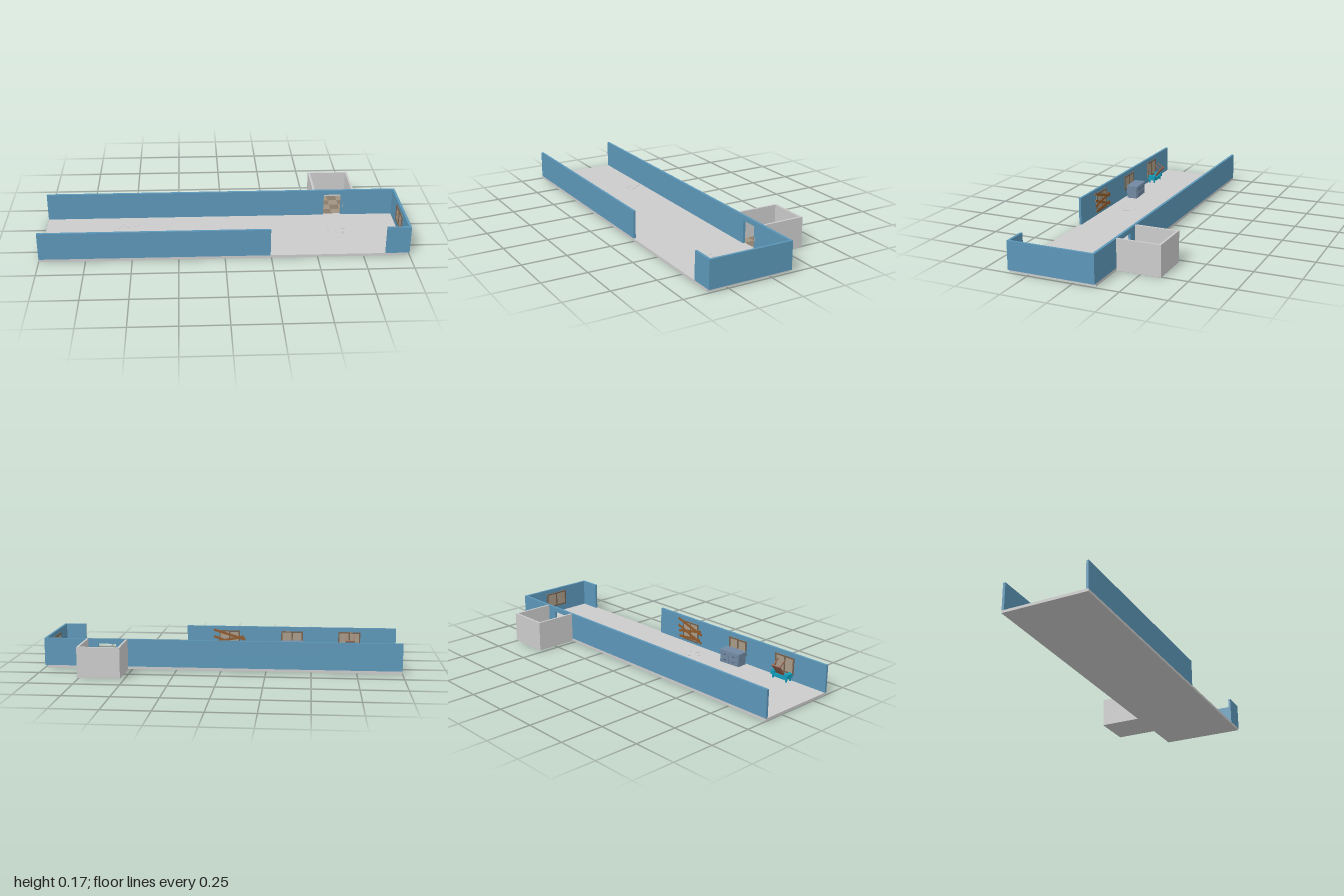
import * as THREE from 'three';

const mats = {};
const mat = (c) => (mats[c] ??= new THREE.MeshStandardMaterial({ color: c }));
const GREY = 0xcccccc, BLUE = 0x5c97b9, WOOD = 0x8f5a2c, FRAME = 0x75614e, PANE = 0xa89a88;
const TEAL = 0x139bba, RUST = 0x93644f, STEEL = 0x7088a2, DARK = 0x4d5f73;

// Box given by its min and max corners
function box(parent, name, color, x0, x1, y0, y1, z0, z1) {
  const m = new THREE.Mesh(new THREE.BoxGeometry(x1 - x0, y1 - y0, z1 - z0), mat(color));
  m.position.set((x0 + x1) / 2, (y0 + y1) / 2, (z0 + z1) / 2);
  m.name = name;
  parent.add(m);
  return m;
}

function group(parent, name, x = 0, y = 0, z = 0, ry = 0) {
  const g = new THREE.Group();
  g.name = name;
  g.position.set(x, y, z);
  g.rotation.y = ry;
  parent.add(g);
  return g;
}

// Framed two-pane window, its back on z = 0 and facing +z
function windowUnit(parent, x, y, z, ry, w, h) {
  const g = group(parent, 'window', x, y, z, ry), t = 0.008;
  box(g, 'windowPane', PANE, -w / 2, w / 2, 0, h, 0, 0.002);
  for (const s of [-w / 2, -t / 2, w / 2 - t]) box(g, 'windowUpright', FRAME, s, s + t, 0, h, 0, 0.005);
  for (const b of [0, h - t]) box(g, 'windowRail', FRAME, -w / 2, w / 2, b, b + t, 0, 0.0055);
  return g;
}

export function createModel() {
  const root = new THREE.Group();
  root.name = 'corridor';
  const F = 0.015, T = 0.17;

  // Floor slab
  box(root, 'floor', GREY, -1, 0.985, 0, F, -0.12, 0.36);

  // Walls, with a gap in the front and a doorway in the back
  box(root, 'frontWallLong', BLUE, -1, 0.245, F, T, 0.347, 0.36);
  box(root, 'frontWallShort', BLUE, 0.87, 0.987, F, T, 0.347, 0.36);
  box(root, 'endWall', BLUE, 0.987, 1, F, T, -0.12, 0.36);
  const wall = new THREE.Shape([[-1, F], [0.59, F], [0.59, 0.143], [0.69, 0.143], [0.69, F], [0.987, F], [0.987, T], [-1, T]]
    .map(([x, y]) => new THREE.Vector2(x, y)));
  const back = new THREE.Mesh(new THREE.ExtrudeGeometry(wall, { depth: 0.014, bevelEnabled: false }), mat(BLUE));
  back.position.z = -0.12;
  back.name = 'backWall';
  root.add(back);
  box(root, 'callPanel', 0x8fa9b8, 0.697, 0.705, 0.065, 0.085, -0.106, -0.103);

  // Lift shaft behind the doorway, with a chequered floor
  const lift = group(root, 'lift');
  box(lift, 'liftBase', GREY, 0.525, 0.76, 0, 0.012, -0.36, -0.12);
  box(lift, 'liftSideWall', GREY, 0.525, 0.537, 0.012, T, -0.36, -0.12);
  box(lift, 'liftSideWall', GREY, 0.748, 0.76, 0.012, T, -0.36, -0.12);
  box(lift, 'liftBackWall', GREY, 0.537, 0.748, 0.012, T, -0.36, -0.348);
  const tx = 0.211 / 4, tz = 0.228 / 4;
  for (let i = 0; i < 4; i++) for (let j = 0; j < 4; j++) {
    const x = 0.537 + i * tx, z = -0.348 + j * tz;
    box(lift, 'floorTile', (i + j) % 2 ? 0xa29380 : 0x897b6a, x, x + tx, 0.012, F, z, z + tz);
  }

  // Windows on the inner faces of the walls
  windowUnit(root, 0.987, 0.055, 0.115, -Math.PI / 2, 0.15, 0.09);
  windowUnit(root, -0.385, 0.06, 0.347, Math.PI, 0.13, 0.085);
  windowUnit(root, -0.725, 0.05, 0.347, Math.PI, 0.13, 0.095);

  // Boarded-up window
  const boarded = windowUnit(root, -0.01, 0.03, 0.347, Math.PI, 0.125, 0.115);
  boarded.name = 'boardedWindow';
  [[0.09, -0.3, 0.2], [0.062, 0.2, 0.18], [0.045, -0.35, 0.2], [0.02, 0.08, 0.17]].forEach(([y, a, l], i) => {
    const b = box(boarded, 'board', WOOD, -l / 2, l / 2, y - 0.007, y + 0.007, 0.005 + i * 0.001, 0.009 + i * 0.001);
    b.rotation.z = a;
  });

  // Chest of drawers, standing slightly askew
  const chest = group(root, 'chest', -0.39, F, 0.301, 0.06);
  box(chest, 'chestBody', STEEL, -0.066, 0.066, 0, 0.07, -0.03, 0.032);
  box(chest, 'chestTop', STEEL, -0.069, 0.069, 0.07, 0.075, -0.034, 0.034);
  for (const x of [-0.031, 0.031]) for (const y of [0.006, 0.038]) {
    box(chest, 'drawer', STEEL, x - 0.028, x + 0.028, y, y + 0.027, -0.033, -0.03);
    box(chest, 'drawerHandle', DARK, x - 0.009, x + 0.009, y + 0.012, y + 0.016, -0.036, -0.033);
  }

  // Teal armchair against the wall
  const chair = group(root, 'armchair', -0.728, F, 0.32);
  box(chair, 'chairSeat', TEAL, -0.036, 0.036, 0.012, 0.03, -0.02, 0.022);
  for (const s of [-1, 1]) {
    const x = s * 0.046;
    box(chair, 'chairArm', TEAL, x - 0.012, x + 0.012, 0.02, 0.045, -0.022, 0.024);
    for (const z of [-0.018, 0.014]) box(chair, 'chairLeg', TEAL, x - 0.004, x + 0.004, 0, 0.02, z, z + 0.008);
  }

  // Broken table top leaning over the armchair, with two legs sticking out
  const table = group(root, 'brokenTable', -0.728, F + 0.05, 0.302);
  table.rotation.x = 0.9;
  box(table, 'tableTop', RUST, -0.028, 0.028, -0.004, 0.004, -0.053, 0.053);
  for (const x of [-0.026, 0.02]) box(table, 'tableLeg', RUST, x, x + 0.006, 0.004, 0.05, -0.048, -0.042);

  // Scraps of paper fanned out on the floor
  for (const [x, z, turn] of [[-0.545, -0.085, 0], [-0.13, 0.19, -0.1], [0.59, 0.065, 0.95]]) {
    const g = group(root, 'scraps', x, F, z, turn);
    [[-0.5, 0.12], [0.05, 0.1], [0.65, 0.1]].forEach(([a, l], i) => {
      const arm = group(g, 'scrap', 0, 0, 0, a);
      box(arm, 'scrapSheet', 0xdedede, -0.014, 0.014, 0, 0.001 + i * 0.0004, 0, l);
    });
  }
  return root;
}
